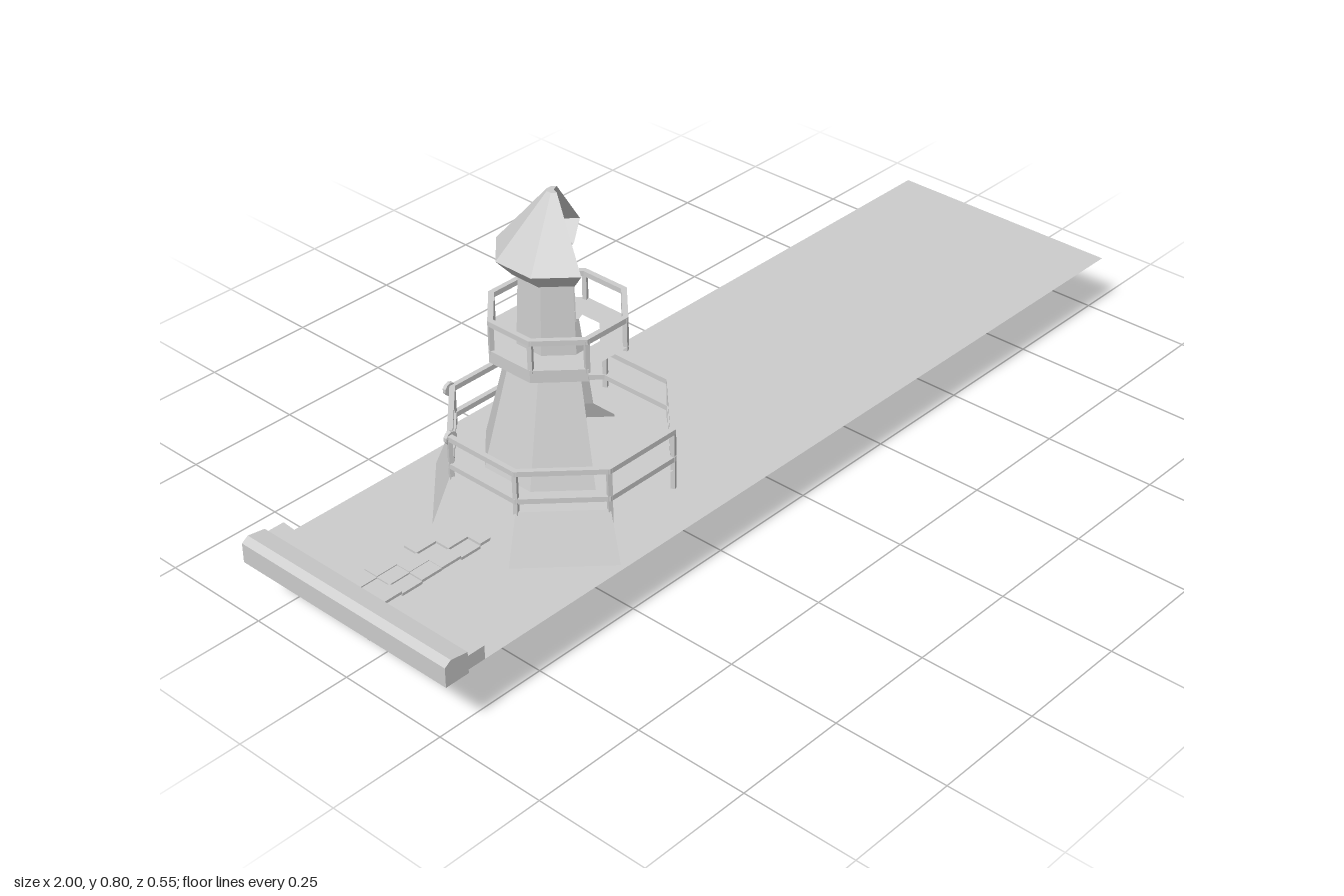
import * as THREE from 'three';

export function createModel() {
  const model = new THREE.Group();
  const grey = new THREE.MeshStandardMaterial({ color: 0xcccccc, flatShading: true, side: THREE.DoubleSide });
  grey.name = 'plain grey';

  const add = (name, geometry, parent = model) => {
    const mesh = new THREE.Mesh(geometry, grey);
    mesh.name = name;
    parent.add(mesh);
    return mesh;
  };

  const GROUND = 0.133;
  const EIGHTH = Math.PI / 4;
  const corner = (apothem) => apothem / Math.cos(EIGHTH / 2);

  // Octagonal shell from [apothem, y] points; five sides leave the +x/+z quarter open
  const octagon = (profile, sides = 5) => new THREE.LatheGeometry(
    profile.map(([a, y]) => new THREE.Vector2(corner(a), y)),
    sides, -5.5 * EIGHTH, sides * EIGHTH);

  // Ground sheet
  const ground = add('ground', new THREE.PlaneGeometry(2, 0.55));
  ground.rotation.x = -Math.PI / 2;
  ground.position.y = GROUND;

  // Lighthouse
  const tower = new THREE.Group();
  tower.name = 'lighthouse';
  tower.position.set(-0.44, 0, 0.012);
  model.add(tower);
  add('base', octagon([[0.251, GROUND], [0.213, 0.233]]), tower);
  add('baseLedge', octagon([[0.213, 0.233], [0.148, 0.233]], 8), tower);
  add('lowerTower', octagon([[0.148, 0.233], [0.092, 0.463]]), tower);
  add('galleryRim', octagon([[0.092, 0.463], [0.13, 0.463], [0.13, 0.489]]), tower);
  add('galleryFloor', octagon([[0.13, 0.489], [0.077, 0.489]], 8), tower);
  add('upperTower', octagon([[0.08, 0.463], [0.071, 0.643]]), tower);
  add('roof', octagon([[0.071, 0.637], [0.08, 0.637], [0.11, 0.673], [0.013, 0.795], [0, 0.795]]), tower);

  // Railings: square rails with a post at every corner
  const railing = (name, apothem, rails, bottom, top) => {
    const group = new THREE.Group();
    group.name = name;
    tower.add(group);
    const h = 0.0055;
    for (const y of rails) {
      add('rail', octagon([
        [apothem - 2 * h, y - h], [apothem, y - h], [apothem, y + h],
        [apothem - 2 * h, y + h], [apothem - 2 * h, y - h],
      ], 8), group);
    }
    const r = corner(apothem - h);
    for (let i = 0; i < 8; i++) {
      const angle = (i + 0.5) * EIGHTH;
      const post = add('post', new THREE.BoxGeometry(0.009, top - bottom, 0.009), group);
      post.position.set(r * Math.cos(angle), (top + bottom) / 2, r * Math.sin(angle));
      post.rotation.y = -angle;
    }
  };
  railing('lowerRailing', 0.215, [0.258, 0.319], 0.19, 0.323);
  railing('upperRailing', 0.13, [0.547], 0.48, 0.55);

  // Small round discs on two railing corners
  for (const [x, z] of [[-0.205, -0.09], [-0.09, -0.215]]) {
    const disc = add('railDisc', new THREE.CylinderGeometry(0.014, 0.014, 0.008, 10), tower);
    disc.position.set(x, 0.316, z);
    disc.rotation.set(Math.PI / 2, 0, 0);
  }

  // Prism from an outline, extruded along +z
  const prism = (points, depth) => new THREE.ExtrudeGeometry(
    new THREE.Shape(points.map(([x, y]) => new THREE.Vector2(x, y))),
    { depth, bevelEnabled: false });

  // Upright retaining wall, leaning slightly back at its foot
  const wall = add('retainingWall', prism([
    [-0.9, 0], [-0.51, 0], [-0.51, 0.162], [-0.72, 0.162], [-0.95, 0.158], [-0.93, 0.11],
  ], 0.008));
  wall.geometry.translate(0, -0.16, 0);
  wall.rotation.x = 0.07;
  wall.position.set(0, 0.16, -0.045);

  // Path of uneven paving slabs along the wall top
  const path = new THREE.Group();
  path.name = 'path';
  model.add(path);
  for (let i = 0; i < 9; i++) {
    for (let j = 0; j < 3; j++) {
      const slab = add('pavingSlab', new THREE.BoxGeometry(0.049, 0.006, 0.034), path);
      slab.position.set(-0.925 + i * 0.049, 0.163 + 0.003 * Math.sin(i * 2.3 + j * 4.1), -0.029 + j * 0.034);
    }
  }

  // Kerb along the right-hand end of the ground
  add('kerb', prism([
    [-1, 0.125], [-0.945, 0.125], [-0.945, 0.172], [-0.985, 0.178], [-1, 0.168],
  ], 0.55)).position.z = -0.275;

  // Low banks widening toward both ends of the kerb
  const bank = (name, points) => {
    const mesh = add(name, prism(points.map(([x, z]) => [x, -z]), 0.03));
    mesh.rotation.x = -Math.PI / 2;
    mesh.position.y = GROUND;
  };
  bank('backBank', [[-0.95, -0.275], [-0.9, -0.275], [-0.905, -0.21], [-0.935, -0.15], [-0.945, -0.1], [-0.95, -0.1]]);
  bank('frontBank', [[-0.95, 0.06], [-0.94, 0.1], [-0.93, 0.19], [-0.905, 0.24], [-0.905, 0.275], [-0.95, 0.275]]);

  return model;
}
